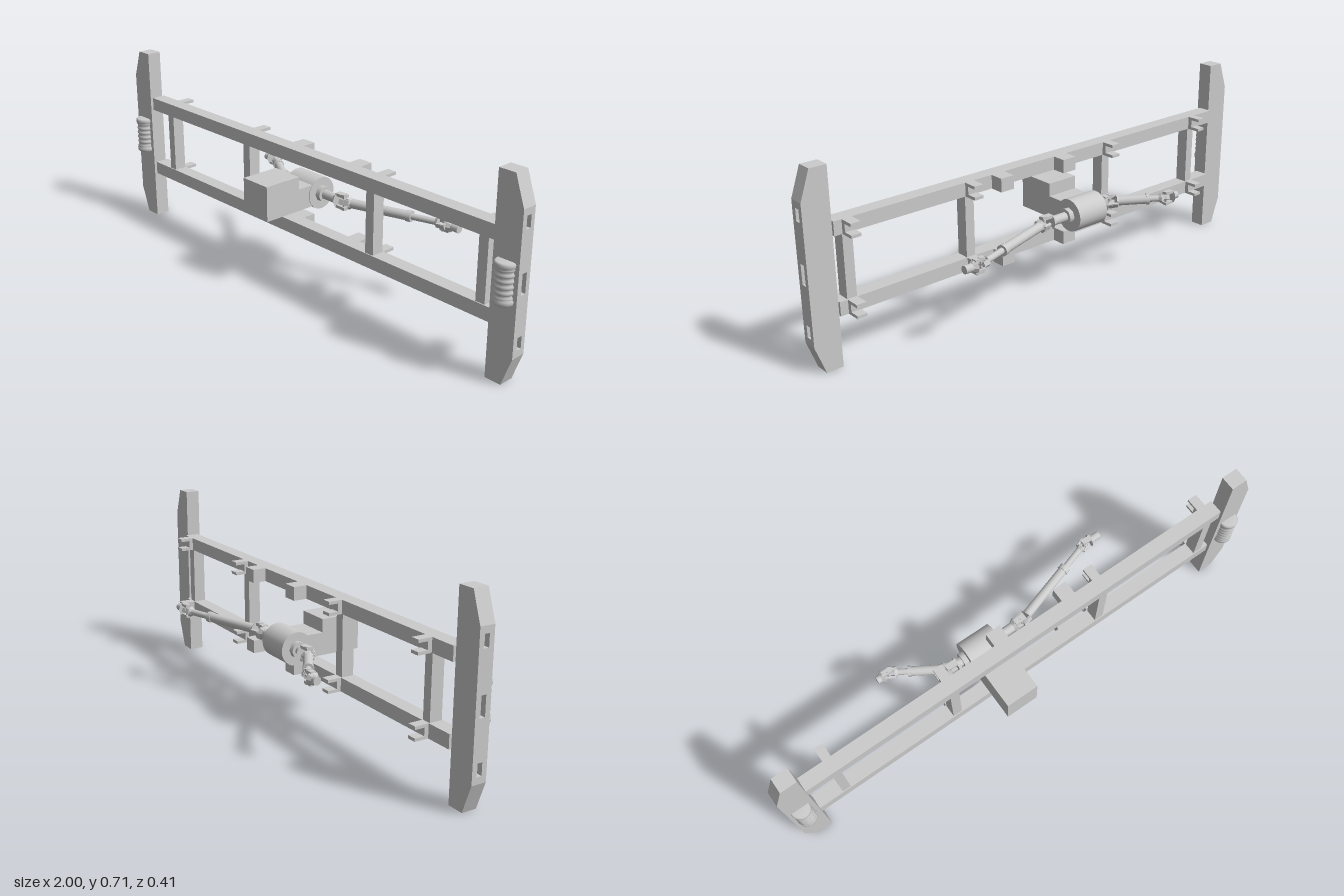
import * as THREE from 'three';

const mat = new THREE.MeshStandardMaterial({ color: 0xcccccc, side: THREE.DoubleSide });
const flat = new THREE.MeshStandardMaterial({ color: 0xcccccc, flatShading: true });
const V = (x, y, z) => new THREE.Vector3(x, y, z);
const UP = V(0, 1, 0);

function add(parent, name, geo, material = flat) {
  const m = new THREE.Mesh(geo, material);
  m.name = name;
  parent.add(m);
  return m;
}

// Box given by its limits on each axis
function block(parent, name, x0, x1, y0, y1, z0, z1) {
  const m = add(parent, name, new THREE.BoxGeometry(x1 - x0, y1 - y0, z1 - z0));
  m.position.set((x0 + x1) / 2, (y0 + y1) / 2, (z0 + z1) / 2);
  return m;
}

const shapeOf = (pts) => new THREE.Shape(pts.map(([x, y]) => new THREE.Vector2(x, y)));
const rect = (a, b, c, d) => [[a, c], [b, c], [b, d], [a, d]];

// Side profile in (z, y), extruded along x from x0 to x1
function sideExtrude(parent, name, shape, x0, x1) {
  const g = new THREE.ExtrudeGeometry(shape, { depth: x1 - x0, bevelEnabled: false });
  g.rotateY(-Math.PI / 2).translate(x1, 0, 0);
  return add(parent, name, g);
}

// Round bar between two points
function rod(parent, name, a, b, r, sides = 16) {
  const d = b.clone().sub(a);
  const m = add(parent, name, new THREE.CylinderGeometry(r, r, d.length(), sides), mat);
  m.position.copy(a).add(b).multiplyScalar(0.5);
  m.quaternion.setFromUnitVectors(UP, d.normalize());
  return m;
}

// Fork with two ears, pointing away from the joint centre along dir
function yoke(parent, name, at, dir, turn, size) {
  const g = new THREE.Group();
  g.name = name;
  g.position.copy(at);
  g.quaternion.setFromUnitVectors(UP, dir.clone().normalize());
  const inner = new THREE.Group();
  inner.rotation.y = turn;
  g.add(inner);
  for (const s of [-1, 1]) {
    const ear = add(inner, 'yokeEar', new THREE.BoxGeometry(size * 0.35, size * 1.5, size * 0.8));
    ear.position.set(s * size * 0.75, size * 0.35, 0);
    const cap = add(inner, 'bearingCap', new THREE.CylinderGeometry(size * 0.42, size * 0.42, size * 0.4, 8));
    cap.rotation.z = Math.PI / 2;
    cap.position.x = s * size * 0.8;
  }
  const pin = add(inner, 'crossPin', new THREE.CylinderGeometry(size * 0.22, size * 0.22, size * 1.6, 8));
  pin.rotation.z = Math.PI / 2;
  const base = add(inner, 'yokeBase', new THREE.CylinderGeometry(size * 0.6, size * 0.95, size * 0.5, 8));
  base.position.y = size * 1.2;
  parent.add(g);
}

// Jointed shaft from the gearbox to an end fitting
function driveShaft(parent, name, flangeX, inner, outer, endX) {
  const g = new THREE.Group();
  g.name = name;
  const dir = outer.clone().sub(inner);
  const at = (t) => inner.clone().addScaledVector(dir, t);
  const s = Math.sign(dir.x);
  const out = V(s, 0, 0);
  rod(g, 'outputFlange', V(flangeX, inner.y, inner.z), V(flangeX + s * 0.02, inner.y, inner.z), 0.031, 8);
  rod(g, 'outputStub', V(flangeX, inner.y, inner.z), inner.clone().addScaledVector(out, -0.03), 0.018);
  yoke(g, 'innerYoke', inner, out.clone().negate(), 0, 0.031);
  yoke(g, 'shaftInnerYoke', inner, dir, Math.PI / 2, 0.026);
  const len = dir.length();
  rod(g, 'outerTube', at(0.025 / len), at(0.68), 0.018);
  rod(g, 'tubeCollar', at(0.64), at(0.69), 0.021);
  rod(g, 'innerBar', at(0.68), at(1 - 0.02 / len), 0.012);
  yoke(g, 'shaftOuterYoke', outer, dir.clone().negate(), Math.PI / 2, 0.022);
  yoke(g, 'endYoke', outer, out, 0, 0.027);
  rod(g, 'endStub', outer.clone().addScaledVector(out, 0.025), V(endX, outer.y, outer.z), 0.015);
  parent.add(g);
}

export function createModel() {
  const root = new THREE.Group();
  root.name = 'frameWithDrive';

  // End plates: chamfered body with a slotted outer wall
  for (const s of [-1, 1]) {
    const end = new THREE.Group();
    end.name = s > 0 ? 'leftEndPlate' : 'rightEndPlate';
    root.add(end);
    const body = shapeOf([[0.9, 0], [0.963, 0], [0.98, 0.049], [0.98, 0.664], [0.963, 0.713], [0.9, 0.713]]
      .map(([x, y]) => [s * x, y]));
    const g = new THREE.ExtrudeGeometry(body, { depth: 0.057, bevelEnabled: false });
    add(end, 'plateBody', g.translate(0, 0, 0.03));
    const wall = shapeOf(rect(0.03, 0.087, 0.105, 0.608));
    for (const [a, b] of [[0.13, 0.175], [0.32, 0.393], [0.538, 0.583]]) {
      wall.holes.push(shapeOf(rect(0.047, 0.068, a, b)));
    }
    sideExtrude(end, 'slottedWall', wall, s > 0 ? 0.98 : -1, s > 0 ? 1 : -0.98);
    // Wedges that carry the chamfer past the slotted wall
    for (const [y0, y1] of [[0.049, 0.105], [0.664, 0.608]]) {
      const wedge = shapeOf([[s * 0.98, y0], [s * 1, y1], [s * 0.98, y1]]);
      const w = new THREE.ExtrudeGeometry(wedge, { depth: 0.057, bevelEnabled: false });
      add(end, 'chamferWedge', w.translate(0, 0, 0.03));
    }

    // Ribbed roller set in the front face
    const pts = [[0, 0.286], [0.032, 0.286], [0.037, 0.291], [0.037, 0.302], [0.032, 0.307]];
    for (let i = 0; i <= 20; i++) pts.push([0.033 + 0.0025 * Math.cos(i * Math.PI / 2), 0.309 + i * 0.0049]);
    pts.push([0.032, 0.409], [0.037, 0.414], [0.037, 0.425], [0.032, 0.43], [0, 0.43]);
    const roller = add(end, 'roller',
      new THREE.LatheGeometry(pts.map(([x, y]) => new THREE.Vector2(x, y)), 24), mat);
    roller.position.set(s * 0.951, 0, 0.087);
  }

  // Long rails with pads and open clips on the back
  const clips = [[-0.8, -0.766], [-0.312, -0.275], [0.346, 0.383], [0.833, 0.87]];
  for (const y of [0.19, 0.473]) {
    const top = y + 0.051;
    block(root, 'rail', -0.9, 0.9, y, top, 0.02, 0.076);
    for (const [a, b] of [[-0.085, -0.025], [0.21, 0.267]]) {
      block(root, 'backPad', a, b, y, top, -0.033, 0.02);
    }
    const u = shapeOf([[0.02, y], [-0.033, y], [-0.033, y + 0.011], [0.004, y + 0.011],
      [0.004, top - 0.011], [-0.033, top - 0.011], [-0.033, top], [0.02, top]]);
    for (const [a, b] of clips) sideExtrude(root, 'clip', u, a, b);
  }

  // Uprights
  for (const [a, b] of clips) block(root, 'upright', a, b, 0.24, 0.474, 0.024, 0.072);

  // Gearbox: stepped housing and cross drum
  const cy = 0.318, cz = -0.066;
  const housing = shapeOf([[0.2, 0.275], [0.2, 0.41], [0.045, 0.41], [0.045, 0.36], [cz, 0.36], [cz, 0.275]]);
  sideExtrude(root, 'gearboxHousing', housing, -0.155, -0.025);
  rod(root, 'gearboxDrum', V(-0.158, cy, cz), V(-0.022, cy, cz), 0.062, 32);

  // Drive shafts to both sides
  driveShaft(root, 'leftDriveShaft', -0.022, V(0.1, cy, cz), V(0.48, cy, -0.184), 0.55);
  driveShaft(root, 'rightDriveShaft', -0.158, V(-0.232, cy, cz), V(-0.42, cy, -0.184), -0.475);

  return root;
}
